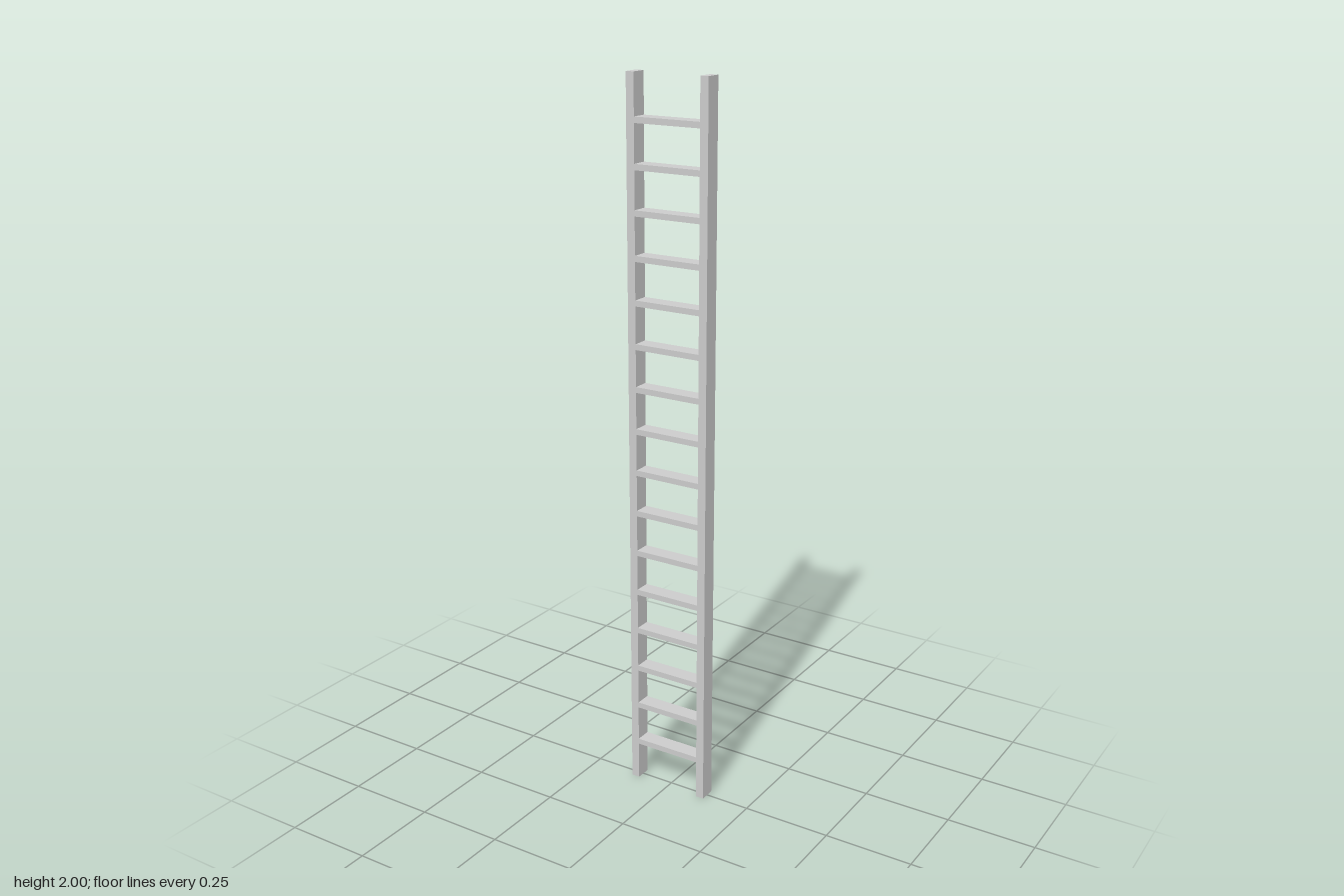
import * as THREE from 'three';

const HEIGHT = 2, HALF_WIDTH = 0.1205, RAIL_WIDTH = 0.0235, DEPTH = 0.0455;
const RUNGS = 16, RUNG_THICKNESS = 0.016;

export function createModel() {
  const ladder = new THREE.Group();
  ladder.name = 'ladder';
  const material = new THREE.MeshStandardMaterial({ color: 0xcccccc, flatShading: true });

  const addBar = (name, w, h, x, y) => {
    const bar = new THREE.Mesh(new THREE.BoxGeometry(w, h, DEPTH), material);
    bar.name = name;
    bar.position.set(x, y, 0);
    ladder.add(bar);
  };

  // Upright side rails
  for (const [name, side] of [['leftRail', 1], ['rightRail', -1]]) {
    addBar(name, RAIL_WIDTH, HEIGHT, side * (HALF_WIDTH - RAIL_WIDTH / 2), HEIGHT / 2);
  }

  // Flat rungs, evenly spaced between the rails
  const span = 2 * (HALF_WIDTH - RAIL_WIDTH);
  for (let i = 1; i <= RUNGS; i++) {
    addBar(`rung${i}`, span, RUNG_THICKNESS, 0, (i * HEIGHT) / (RUNGS + 1));
  }
  return ladder;
}
